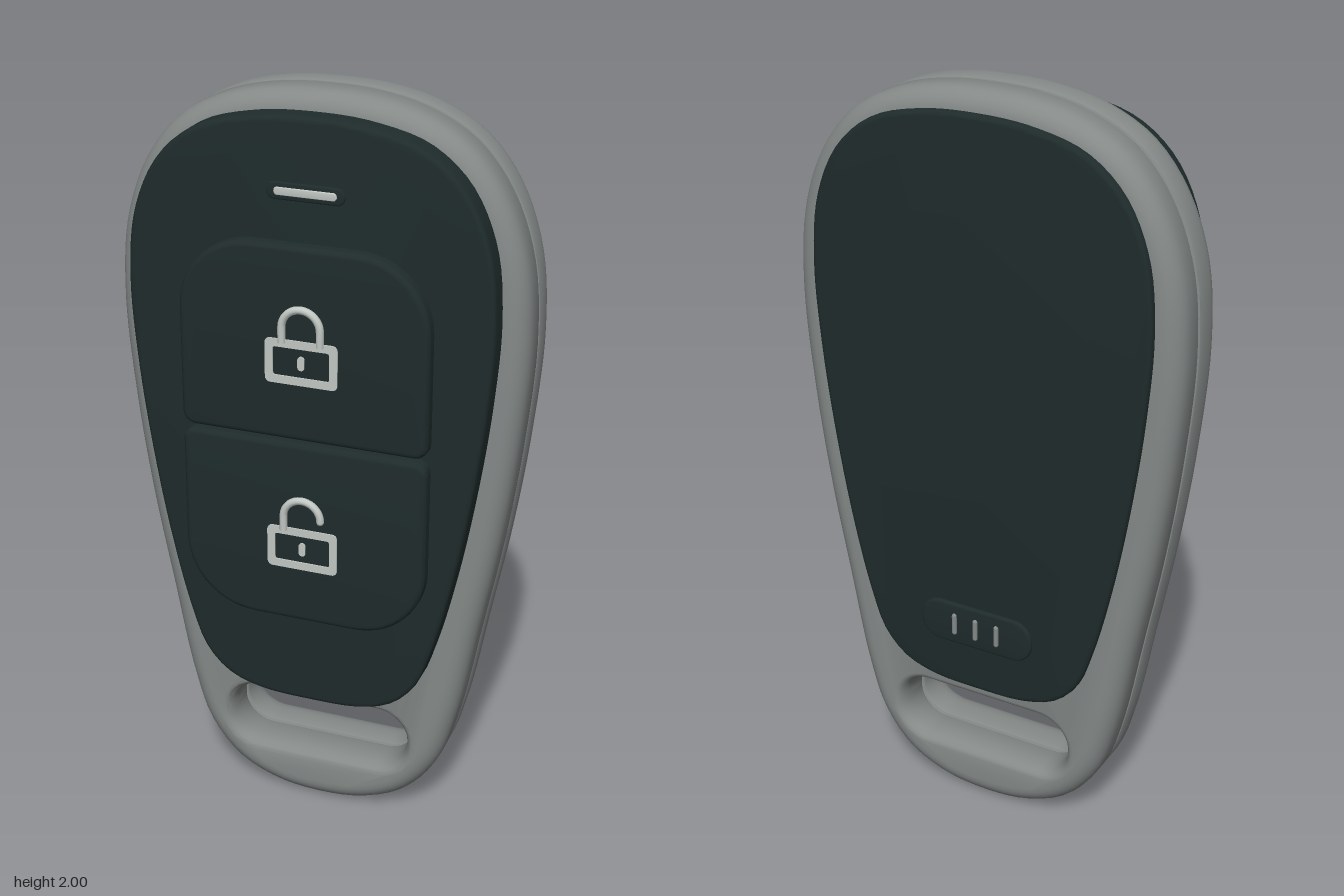
import * as THREE from 'three';
import { toCreasedNormals } from 'three/addons/utils/BufferGeometryUtils.js';

const V2 = (x, y) => new THREE.Vector2(x, y);

// Closed smooth outline, counter-clockwise, from right-hand points running bottom to top.
function mirroredOutline(half, samples) {
  const left = half.slice(1, -1).reverse().map(([x, y]) => [-x, y]);
  const pts = [...half, ...left].map(([x, y]) => new THREE.Vector3(x, y, 0));
  const curve = new THREE.CatmullRomCurve3(pts, true, 'centripetal');
  return curve.getSpacedPoints(samples).slice(0, -1).map((p) => V2(p.x, p.y));
}

// Rectangle with separate corner radii (rx, ry) at bottom and top, counter-clockwise.
function roundedRect(x0, y0, x1, y1, bottom, top = bottom, seg = 10) {
  const pts = [];
  const corner = (cx, cy, [rx, ry], start) => {
    for (let i = 0; i <= seg; i++) {
      const a = start + (i / seg) * Math.PI / 2;
      pts.push(V2(cx + rx * Math.cos(a), cy + ry * Math.sin(a)));
    }
  };
  corner(x1 - bottom[0], y0 + bottom[1], bottom, -Math.PI / 2);
  corner(x1 - top[0], y1 - top[1], top, 0);
  corner(x0 + top[0], y1 - top[1], top, Math.PI / 2);
  corner(x0 + bottom[0], y0 + bottom[1], bottom, Math.PI);
  return pts.filter((p, i) => p.distanceTo(pts[(i + 1) % pts.length]) > 1e-4);
}

// Move an outline towards its left side by d.
function inset(outline, d) {
  const n = outline.length;
  return outline.map((p, i) => {
    const a = p.clone().sub(outline[(i + n - 1) % n]).normalize();
    const b = outline[(i + 1) % n].clone().sub(p).normalize();
    const k = d / (1 + a.dot(b));
    return V2(p.x - (a.y + b.y) * k, p.y + (a.x + b.x) * k);
  });
}

// Solid plate: outline (and optional clockwise hole) swept through [inset, z] profiles, back to front.
function plate(outline, profile, hole, holeProfile) {
  const pos = [];
  const put = (p, z) => pos.push(p.x, p.y, z);
  const skin = (line, prof) => {
    const rings = prof.map(([d]) => inset(line, d));
    for (let r = 0; r < prof.length - 1; r++) {
      const z0 = prof[r][1], z1 = prof[r + 1][1];
      for (let i = 0; i < line.length; i++) {
        const j = (i + 1) % line.length;
        put(rings[r][i], z0); put(rings[r][j], z0); put(rings[r + 1][j], z1);
        put(rings[r][i], z0); put(rings[r + 1][j], z1); put(rings[r + 1][i], z1);
      }
    }
    return [rings[0], rings[rings.length - 1]];
  };
  const outer = skin(outline, profile);
  const inner = hole ? skin(hole, holeProfile) : null;
  [0, 1].forEach((side) => {
    const holes = inner ? [inner[side]] : [];
    const all = [outer[side], ...holes].flat();
    const z = side ? profile[profile.length - 1][1] : profile[0][1];
    for (const f of THREE.ShapeUtils.triangulateShape(outer[side], holes)) {
      const t = f.map((i) => all[i]);
      if ((THREE.ShapeUtils.area(t) > 0) !== (side === 1)) t.reverse();
      t.forEach((p) => put(p, z));
    }
  });
  const g = new THREE.BufferGeometry();
  g.setAttribute('position', new THREE.Float32BufferAttribute(pos, 3));
  return toCreasedNormals(g, 0.55);
}

// Quarter-round profile edges; r is the rounding depth and w its width.
const quarter = (z, dir, w, r, n) => Array.from({ length: n + 1 }, (_, i) => {
  const a = (i / n) * Math.PI / 2;
  return [w * (1 - Math.sin(a)), z + dir * r * (1 - Math.cos(a))];
});
const softFront = (z0, z1, r) => [[0, z0], ...quarter(z1, -1, r, r, 4).reverse()];
const softBack = (z0, z1, r) => [...quarter(z0, 1, r, r, 4), [0, z1]];

// Shell profile: round back edge, seam groove, round front edge.
const shellProfile = (w) => [
  ...quarter(-0.15, 1, w, 0.055, 7),
  [0, -0.052], [0.003, -0.046], [0.012, -0.042], [0.012, -0.038], [0.003, -0.034], [0, -0.028],
  ...quarter(0.075, -1, w, 0.055, 7).reverse(),
];

export function createModel() {
  const shell = new THREE.MeshStandardMaterial({ color: 0x858a89 });
  shell.name = 'shell grey';
  const dark = new THREE.MeshStandardMaterial({ color: 0x1f2b2b });
  dark.name = 'dark plastic';
  const light = new THREE.MeshStandardMaterial({ color: 0xc2c8c4 });
  light.name = 'light marking';

  const model = new THREE.Group();
  model.name = 'keyFob';
  const add = (name, geometry, material, parent = model) => {
    const mesh = new THREE.Mesh(geometry, material);
    mesh.name = name;
    parent.add(mesh);
    return mesh;
  };

  // Shell with key ring slot
  const bodyLine = mirroredOutline([
    [0, 0], [0.13, 0.015], [0.245, 0.07], [0.33, 0.175], [0.378, 0.32], [0.432, 0.6], [0.48, 0.86], [0.517, 1.13],
    [0.538, 1.42], [0.52, 1.63], [0.46, 1.79], [0.37, 1.9], [0.25, 1.965], [0.12, 1.994], [0, 2],
  ], 144);
  const slot = roundedRect(-0.25, 0.15, 0.25, 0.32, [0.08, 0.08]).reverse();
  add('shell', plate(bodyLine, shellProfile(0.055), slot, shellProfile(0.028)), shell);

  // Front and back panels
  const panelLine = mirroredOutline([
    [0, 0.36], [0.14, 0.367], [0.23, 0.398], [0.295, 0.465], [0.338, 0.58], [0.387, 0.78], [0.43, 1.02],
    [0.462, 1.27], [0.475, 1.5], [0.455, 1.68], [0.39, 1.82], [0.29, 1.905], [0.15, 1.945], [0, 1.955],
  ], 128);
  add('frontPanel', plate(panelLine, softFront(0.07, 0.135, 0.012)), dark);
  add('backPanel', plate(inset(panelLine, 0.004), softBack(-0.167, -0.145, 0.012)), dark);

  // Indicator light in its pill frame
  add('indicatorFrame', plate(roundedRect(-0.1, 1.752, 0.1, 1.796, [0.021, 0.021]), softFront(0.13, 0.139, 0.004)), dark);
  add('indicatorLight', plate(roundedRect(-0.08, 1.764, 0.08, 1.784, [0.009, 0.009]), softFront(0.136, 0.142, 0.002)), light);

  // Two buttons with padlock symbols
  const small = [0.035, 0.035], big = [0.19, 0.19];
  const buttons = [
    { name: 'lockButton', y0: 1.142, y1: 1.65, bottom: small, top: big, iconY: 1.295, open: false },
    { name: 'unlockButton', y0: 0.625, y1: 1.132, bottom: big, top: small, iconY: 0.78, open: true },
  ];
  for (const b of buttons) {
    const group = new THREE.Group();
    group.name = b.name;
    model.add(group);
    const line = roundedRect(-0.326, b.y0, 0.326, b.y1, b.bottom, b.top, 14);
    add('buttonCap', plate(line, softFront(0.125, 0.17, 0.014)), dark, group);

    const icon = new THREE.Group();
    icon.name = 'padlockSymbol';
    icon.position.y = b.iconY;
    group.add(icon);
    const flat = [[0, 0.168], [0, 0.174]];
    const cut = roundedRect(-0.074, 0.021, 0.074, 0.096, [0.006, 0.006]).reverse();
    add('padlockFrame', plate(roundedRect(-0.095, 0, 0.095, 0.117, [0.014, 0.014]), flat, cut, flat), light, icon);
    add('keyhole', plate(roundedRect(-0.009, 0.04, 0.009, 0.077, [0.009, 0.009]), flat), light, icon);

    // Shackle: left foot, arch, and a shorter right foot when open
    const path = [];
    const archY = 0.148, r = 0.05;
    for (let i = 0; i <= 16; i++) {
      const a = Math.PI * (1 - i / 16);
      path.push(new THREE.Vector3(r * Math.cos(a), archY + r * Math.sin(a), 0.173));
    }
    path.unshift(new THREE.Vector3(-r, 0.108, 0.173));
    if (!b.open) path.push(new THREE.Vector3(r, 0.108, 0.173));
    add('shackle', new THREE.TubeGeometry(new THREE.CatmullRomCurve3(path), 40, 0.01, 10), light, icon);
    if (b.open) add('shackleEnd', new THREE.SphereGeometry(0.01, 10, 8), light, icon).position.copy(path[path.length - 1]);
  }

  // Back grip pad with three ribs
  add('gripPad', plate(roundedRect(-0.165, 0.5, 0.165, 0.62, [0.055, 0.055]), softBack(-0.177, -0.16, 0.006)), dark);
  for (const x of [-0.063, 0, 0.063]) {
    const rib = add('gripRib', new THREE.CapsuleGeometry(0.007, 0.05, 4, 10), shell);
    rib.position.set(x, 0.56, -0.178);
  }

  return model;
}
